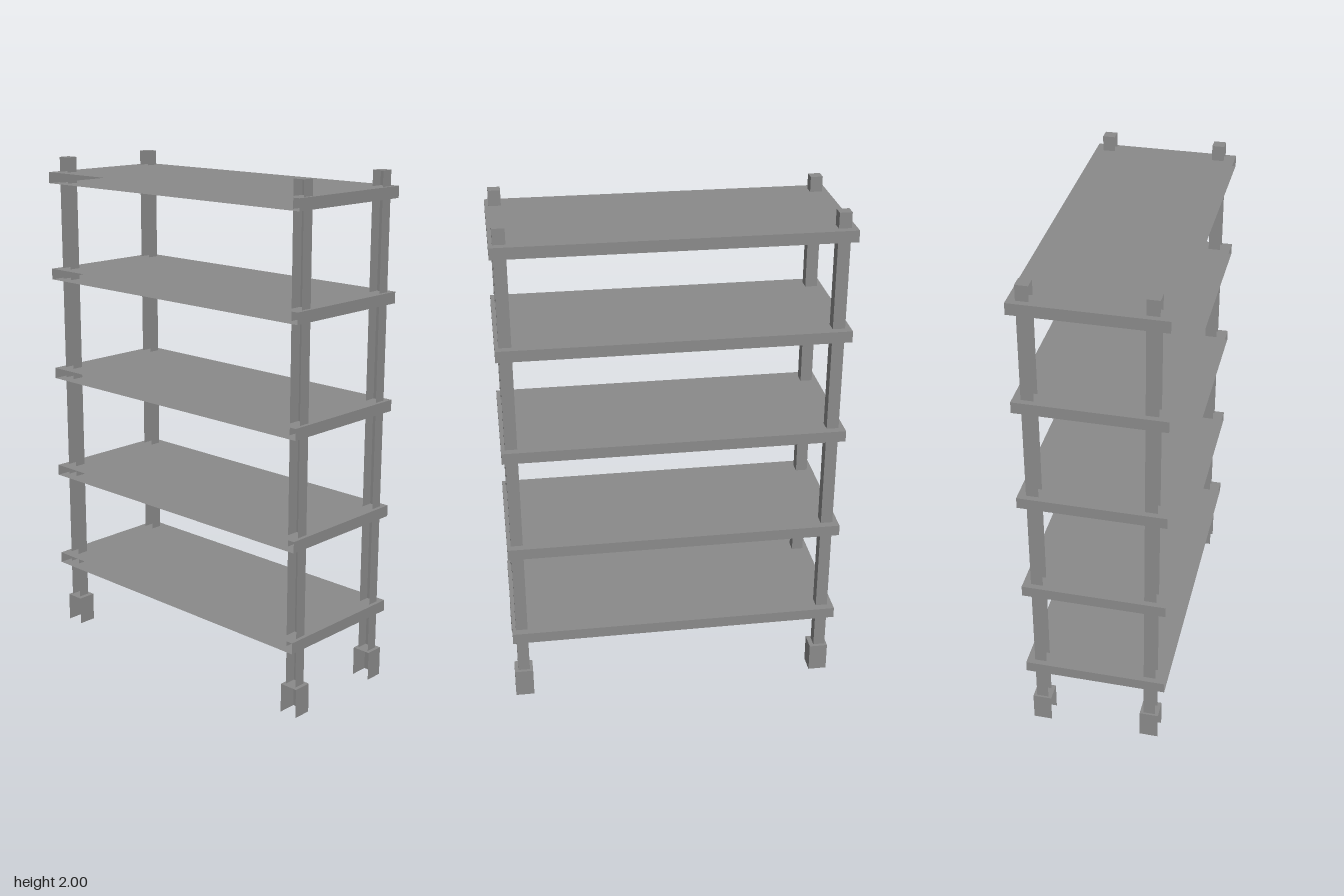
import * as THREE from 'three';

const material = new THREE.MeshStandardMaterial({ color: 0x8a8a8a, flatShading: true, side: THREE.DoubleSide });

// Face numbers in a BoxGeometry: +x, -x, +y, -y, +z, -z
const NEG_X = 1, NEG_Y = 3;

// Box shell from min/max corners, with the listed faces left open
function openBox(name, [x0, y0, z0], [x1, y1, z1], openFaces) {
  const geometry = new THREE.BoxGeometry(x1 - x0, y1 - y0, z1 - z0);
  const index = Array.from(geometry.index.array);
  geometry.setIndex(index.filter((_, i) => !openFaces.includes(Math.floor(i / 6))));
  geometry.clearGroups();
  geometry.translate((x0 + x1) / 2, (y0 + y1) / 2, (z0 + z1) / 2);
  const mesh = new THREE.Mesh(geometry, material);
  mesh.name = name;
  return mesh;
}

export function createModel() {
  const group = new THREE.Group();
  group.name = 'shelvingUnit';

  // Five shelves, open along the right-hand edge
  const shelfThickness = 0.044;
  [0.27, 0.667, 1.091, 1.507, 1.897].forEach((y, i) => {
    group.add(openBox(`shelf${i + 1}`, [-0.278, y, -0.66], [0.278, y + shelfThickness, 0.66], [NEG_X]));
  });

  // Four corner posts, each standing in a wider hollow foot
  const footHeight = 0.116, postHalf = 0.0235, footHalf = 0.037;
  for (const [xName, x] of [['Right', -0.215], ['Left', 0.224]]) {
    for (const [zName, postZ, footZ] of [['front', 0.622, 0.623], ['back', -0.614, -0.609]]) {
      group.add(openBox(`${zName}${xName}Post`,
        [x - postHalf, footHeight, postZ - postHalf],
        [x + postHalf, 2, postZ + postHalf], [NEG_X, NEG_Y]));
      group.add(openBox(`${zName}${xName}Foot`,
        [x - footHalf, 0, footZ - footHalf],
        [x + footHalf, footHeight, footZ + footHalf], [NEG_X, NEG_Y]));
    }
  }
  return group;
}
